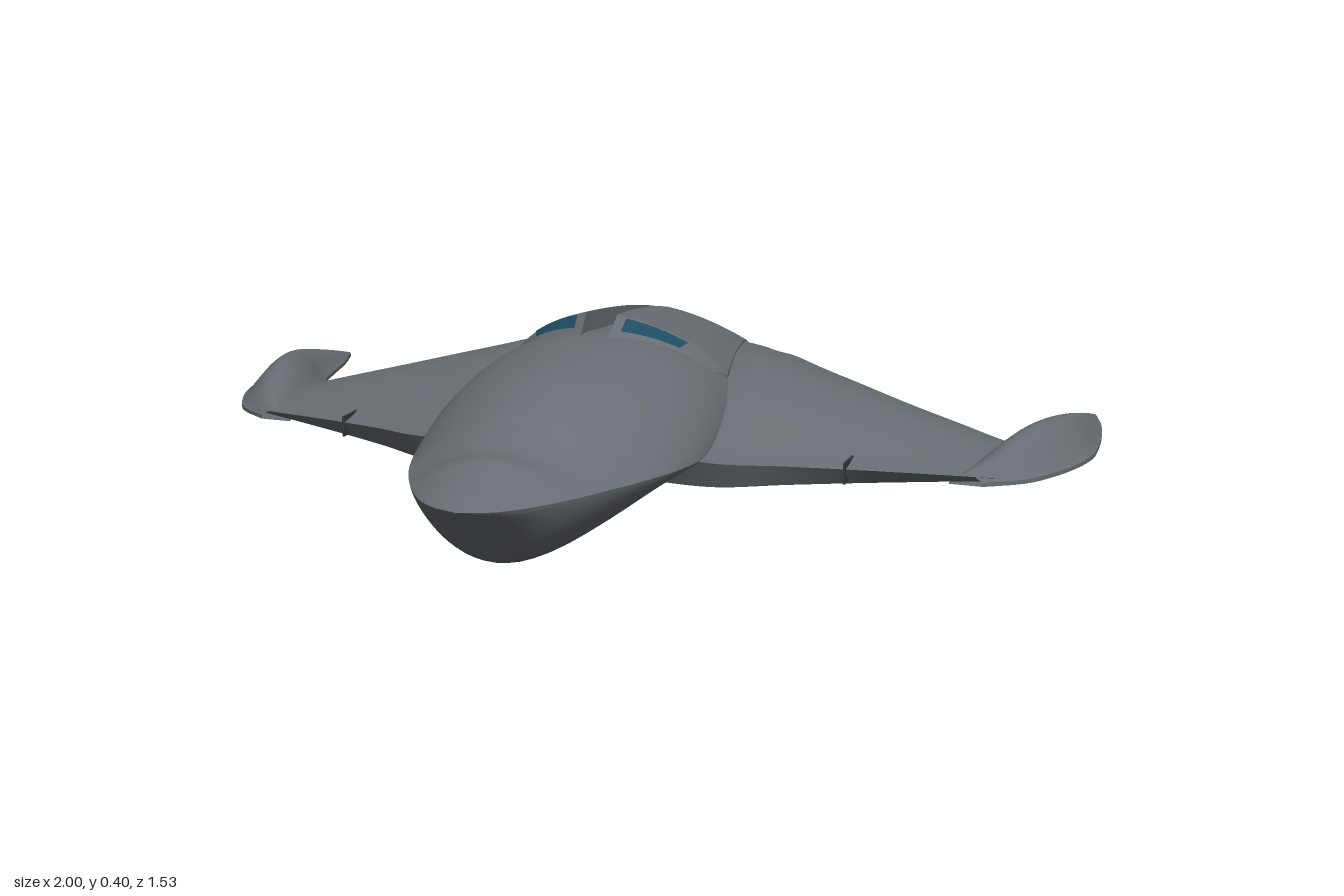
import * as THREE from 'three';
import { toCreasedNormals } from 'three/addons/utils/BufferGeometryUtils.js';

const hull = new THREE.MeshStandardMaterial({ color: 0x676d72, side: THREE.DoubleSide });
hull.name = 'hull grey';
const glass = new THREE.MeshStandardMaterial({ color: 0x1f4d63, side: THREE.DoubleSide });
glass.name = 'dark teal';
const seam = new THREE.MeshStandardMaterial({ color: 0x35393c });
seam.name = 'seam grey';

const lerp = THREE.MathUtils.lerp;

// Smooth lookup through rows of [key, value, value, ...]
function smooth(rows) {
  const n = rows[0].length - 1;
  const it = new THREE.CubicInterpolant(rows.map(r => r[0]), rows.flatMap(r => r.slice(1)), n, new Float32Array(n));
  return k => Array.from(it.evaluate(k));
}

// Surface through rows of points
function skin(rows, flip = false, crease = 0.6) {
  const m = rows[0].length, index = [];
  for (let j = 0; j < rows.length - 1; j++) {
    for (let i = 0; i < m - 1; i++) {
      const a = j * m + i, b = a + 1, c = a + m, d = c + 1;
      index.push(...(flip ? [a, c, b, b, c, d] : [a, b, c, b, d, c]));
    }
  }
  const g = new THREE.BufferGeometry();
  g.setAttribute('position', new THREE.Float32BufferAttribute(rows.flat(2), 3));
  g.setIndex(index);
  return toCreasedNormals(g, crease);
}

const range = (n, a, b) => Array.from({ length: n + 1 }, (_, i) => lerp(a, b, i / n));

// Fuselage: z, half width, rim height, top, bottom, roundness
const body = smooth([
  [-0.68, 0.15, 0.12, 0.195, 0.1, 0.5],
  [-0.63, 0.20, 0.12, 0.232, 0.1, 0.5],
  [-0.55, 0.24, 0.13, 0.275, 0.1, 0.5],
  [-0.45, 0.25, 0.14, 0.302, 0.1, 0.5],
  [-0.3, 0.27, 0.15, 0.33, 0.1, 0.5],
  [-0.1, 0.29, 0.155, 0.347, 0.1, 0.5],
  [0.03, 0.30, 0.155, 0.355, 0.1, 0.5],
  [0.2, 0.302, 0.155, 0.337, 0.092, 0.65],
  [0.3, 0.285, 0.155, 0.317, 0.058, 0.8],
  [0.4, 0.255, 0.157, 0.28, 0.017, 1],
  [0.53, 0.205, 0.16, 0.222, 0.001, 1.1],
  [0.6, 0.17, 0.16, 0.222, 0.02, 1.1],
  [0.66, 0.134, 0.16, 0.198, 0.073, 1],
  [0.72, 0.085, 0.16, 0.177, 0.127, 0.9],
  [0.75, 0.043, 0.16, 0.167, 0.152, 0.8],
  [0.763, 0.002, 0.16, 0.162, 0.159, 0.8],
]);
function bodyTop(x, z) {
  const [w, rim, top, , e] = body(z);
  return rim + (top - rim) * Math.pow(Math.max(0, 1 - (x / w) ** 2), e);
}

// Wing: x, leading z, trailing z, inset of the upper trailing edge
const wing = smooth([
  [0, 0.2, -0.757, 0.065], [0.07, 0.2, -0.737, 0.046], [0.14, 0.2, -0.722, 0.0],
  [0.24, 0.22, -0.665, 0.02], [0.33, 0.215, -0.615, 0.03], [0.45, 0.15, -0.55, 0.03],
  [0.57, 0.09, -0.485, 0.03], [0.7, 0.03, -0.42, 0.025], [0.79, -0.01, -0.37, 0.02],
  [0.85, -0.035, -0.345, 0.02],
]);
const wingBottom = 0.094;
function wingHeights(x) {
  const k = THREE.MathUtils.clamp((0.84 - x) / 0.56, 0, 1);
  return { lead: 0.108 + 0.047 * k, peak: 0.122 + 0.145 * k, trail: 0.105 + 0.083 * k };
}
function wingSection(x, s) {
  const [lz, tz, inset] = wing(x), h = wingHeights(x);
  const ring = [[s * x, wingBottom, tz]];
  for (const f of range(28, 1, 0)) {
    const y = f < 0.57
      ? h.lead + (h.peak - h.lead) * Math.pow(Math.sin(Math.PI / 2 * f / 0.57), 1.35)
      : h.peak + (h.trail - h.peak) * Math.pow((f - 0.57) / 0.43, 1.8);
    ring.push([s * x, y, lerp(lz, tz + inset, f)]);
  }
  ring.push([s * x, wingBottom, lz - 0.03], [s * x, wingBottom, tz]);
  return ring;
}

// Wing tip pod: z, inner x, outer x, top
const pod = smooth([
  [-0.69, 0.937, 0.943, 0.102], [-0.6, 0.908, 0.97, 0.125], [-0.5, 0.885, 0.988, 0.148],
  [-0.4, 0.86, 0.998, 0.168], [-0.33, 0.828, 1.0, 0.176], [-0.25, 0.80, 0.986, 0.176],
  [-0.15, 0.78, 0.95, 0.16], [-0.07, 0.77, 0.9, 0.135], [-0.02, 0.76, 0.83, 0.115],
]);

// Ridge height of the dorsal shells by z
const ridge = smooth([[-0.57, 0.27], [-0.45, 0.324], [-0.3, 0.36], [-0.1, 0.389], [-0.01, 0.397]]);
const SHELL_BACK = -0.57;
function shellPoint(u, v) {
  // u runs from groove to outer edge, v from front to back
  const front = lerp(-0.01, -0.11, u);
  const z = lerp(front, SHELL_BACK, v);
  const x = lerp(lerp(0.035, 0.008, v), lerp(0.25, 0.15, v), u);
  const lift = Math.max(0.002, (ridge(z)[0] - body(z)[2]) * (1 - 0.75 * u));
  return [x, bodyTop(x, z) + lift, z];
}
function shellFoot(u) {
  const [x, , z] = shellPoint(u, 0);
  return [x * 0.9, bodyTop(x * 0.9, z + 0.045) - 0.003, z + 0.045];
}

export function createModel() {
  const model = new THREE.Group();
  const add = (name, geometry, material = hull) => {
    const mesh = new THREE.Mesh(geometry, material);
    mesh.name = name;
    model.add(mesh);
    return mesh;
  };

  // Fuselage with bulging nose
  add('fuselage', skin(range(90, -0.68, 0.763).map(z => {
    const [w, rim, top, bottom, e] = body(z);
    return range(56, 0, Math.PI * 2).map(a => {
      const s = Math.abs(Math.sin(a));
      const y = a <= Math.PI ? rim + (top - rim) * Math.pow(s, 2 * e) : rim - (rim - bottom) * Math.pow(s, 1.5);
      return [w * Math.cos(a), y, z];
    });
  })));

  // Belly keel
  const keel = smooth([
    [-0.7, 0.04, 0.092], [-0.5, 0.085, 0.062], [-0.35, 0.1, 0.038],
    [-0.27, 0.092, 0.03], [-0.2, 0.07, 0.045], [-0.14, 0.02, 0.09],
  ]);
  add('keel', skin(range(30, -0.7, -0.14).map(z => {
    const [w, y] = keel(z);
    return range(20, Math.PI, 2 * Math.PI).map(a => [w * Math.cos(a), 0.097 + (0.097 - y) * Math.sin(a), z]);
  })));

  // Fin dividing the exhaust
  const fin = new THREE.Shape([[-0.66, 0.1], [-0.763, 0.098], [-0.68, 0.192], [-0.66, 0.19]].map(p => new THREE.Vector2(...p)));
  add('exhaustFin', new THREE.ExtrudeGeometry(fin, { depth: 0.016, bevelEnabled: false })
    .rotateY(-Math.PI / 2).translate(0.008, 0, 0));

  for (const s of [1, -1]) {
    const side = s > 0 ? 'left' : 'right', flip = s < 0;
    const mirror = p => [s * p[0], p[1], p[2]];

    add(side + 'Wing', skin(range(50, 0, 0.85).map(x => wingSection(x, s)), flip));

    // Swept-back tip
    add(side + 'WingTip', skin(range(36, -0.69, -0.02).map(z => {
      const [xi, xo, top] = pod(z);
      const arc = range(24, 0, 1).map(f =>
        [s * lerp(xo, xi, f), 0.1 + (top - 0.1) * Math.pow(Math.sin(Math.PI * f), 1.25), z]);
      return [[s * xo, 0.091, z], ...arc, [s * xi, 0.091, z], [s * xo, 0.091, z]];
    }), flip));

    // Raised dorsal shell with sloping front face
    const us = range(16, 0, 1);
    const sink = p => [p[0], bodyTop(p[0], p[2]) - 0.01, p[2]];
    const rows = [us.map(shellFoot), ...range(30, 0, 1).map(v => us.map(u => shellPoint(u, v)))];
    add(side + 'DorsalShell', skin(rows.map(r => [sink(r[0]), ...r, sink(r[16])].map(mirror)), flip));

    // Window on the front face of the shell
    const pane = f => range(8, 0.1, 0.66).map(u => {
      const a = shellFoot(u), b = shellPoint(u, 0);
      return mirror([lerp(a[0], b[0], f), lerp(a[1], b[1], f) + 0.004, lerp(a[2], b[2], f) + 0.004]);
    });
    add(side + 'Window', skin([pane(0.3), pane(0.88)], flip));
    model.children.at(-1).material = glass;

    // Exhaust panel in the tail
    const panel = f => range(8, 0.01, 0.128).map(x => {
      const [, tz, inset] = wing(x);
      return [s * x, lerp(0.102, wingHeights(x).trail - 0.004, f) + 0.003, tz + inset * f - 0.004];
    });
    add(side + 'Exhaust', skin([panel(0), panel(1)], !flip), glass);

    // Belly thruster
    const ring = [[0.038, 0.098], [0.045, 0.077], [0.06, 0.074], [0.072, 0.079], [0.084, 0.097]];
    add(side + 'ThrusterRing', toCreasedNormals(
      new THREE.LatheGeometry(ring.map(p => new THREE.Vector2(...p)), 32), 0.6)).position.set(s * 0.46, 0, -0.25);
    add(side + 'Thruster', new THREE.CircleGeometry(0.046, 32).rotateX(Math.PI / 2), glass)
      .position.set(s * 0.46, 0.084, -0.25);

    // Short panel gap at the leading edge
    add(side + 'WingSeam', new THREE.BoxGeometry(0.005, 0.045, 0.07), seam).position.set(s * 0.567, 0.122, 0.058);
  }
  return model;
}
